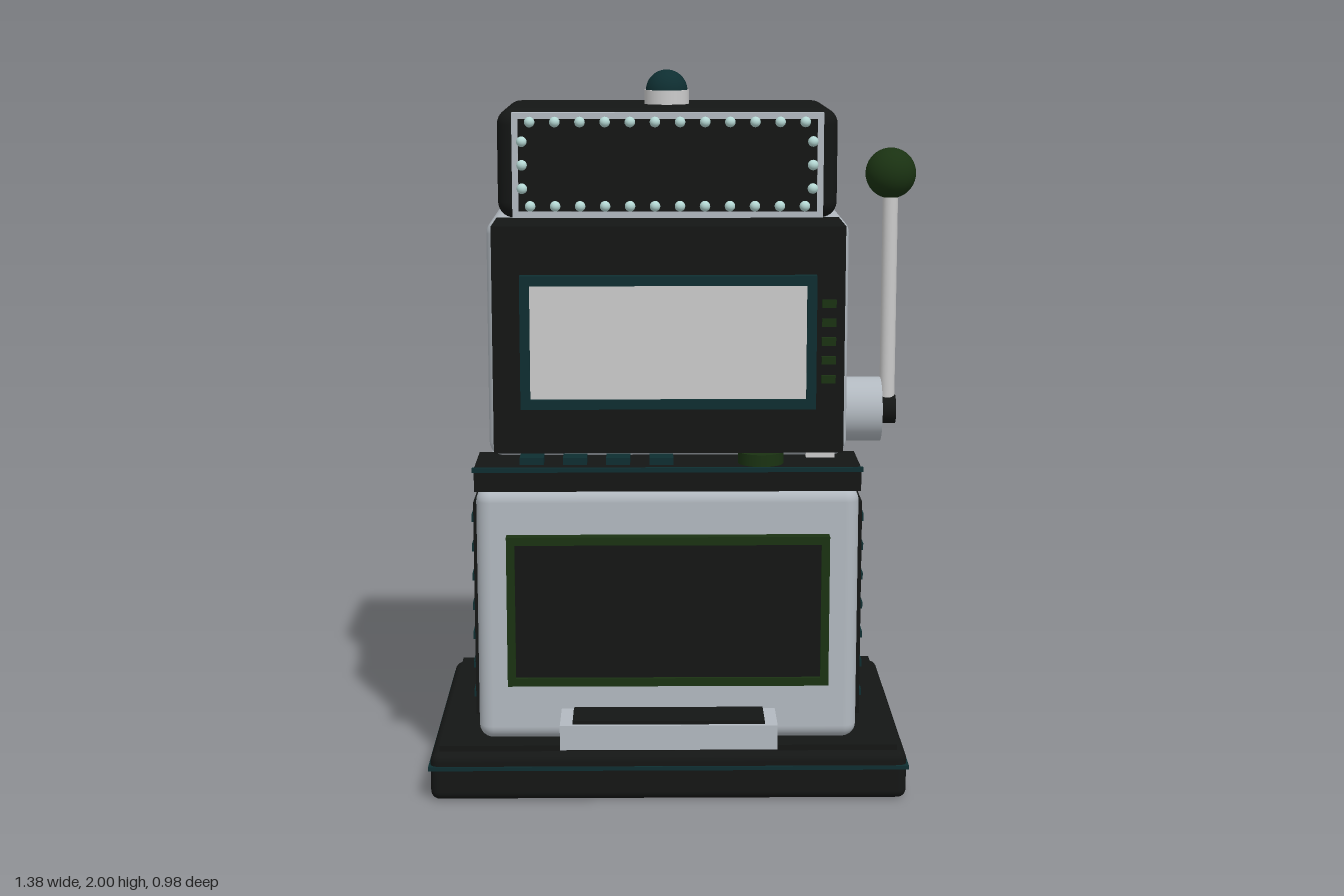
import * as THREE from 'three';
import { RoundedBoxGeometry } from 'three/addons/geometries/RoundedBoxGeometry.js';

const paint = (color, side = THREE.FrontSide) => {
  const m = new THREE.MeshStandardMaterial({ color });
  m.side = side;
  return m;
};

export function createModel() {
  const model = new THREE.Group();
  model.name = 'slotMachine';
  const grey = paint(0xb2b9c0), silver = paint(0xcccccc), black = paint(0x141615);
  const teal = paint(0x0e2e31), green = paint(0x1a3212), bulbMat = paint(0xb5d8d4);

  const add = (name, geo, mat, x = 0, y = 0, z = 0, parent = model) => {
    const mesh = new THREE.Mesh(geo, mat);
    mesh.name = name;
    mesh.position.set(x, y, z);
    parent.add(mesh);
    return mesh;
  };
  // Box given by its limits on each axis; r rounds the edges
  const box = (name, mat, [x0, x1], [y0, y1], [z0, z1], r = 0, parent = model) => {
    const s = [x1 - x0, y1 - y0, z1 - z0];
    const geo = r ? new RoundedBoxGeometry(...s, 4, r) : new THREE.BoxGeometry(...s);
    return add(name, geo, mat, (x0 + x1) / 2, (y0 + y1) / 2, (z0 + z1) / 2, parent);
  };
  // Rectangular frame facing +z with border t
  const frame = (name, mat, [x0, x1], [y0, y1], [z0, z1], t) => {
    const rect = (S, a, b, c, d) => new S().moveTo(a, c).lineTo(b, c).lineTo(b, d).lineTo(a, d).closePath();
    const shape = rect(THREE.Shape, x0, x1, y0, y1);
    shape.holes.push(rect(THREE.Path, x0 + t, x1 - t, y0 + t, y1 - t));
    return add(name, new THREE.ExtrudeGeometry(shape, { depth: z1 - z0, bevelEnabled: false }), mat, 0, 0, z0);
  };
  const group = (name) => {
    const g = new THREE.Group();
    g.name = name;
    model.add(g);
    return g;
  };

  // Plinth
  box('plinth', black, [-0.685, 0.643], [0, 0.137], [-0.487, 0.413], 0.025);
  box('plinthTrim', teal, [-0.69, 0.648], [0.089, 0.1], [-0.492, 0.418]);
  box('plinthTop', black, [-0.66, 0.617], [0.13, 0.153], [-0.462, 0.39]);

  // Lower cabinet with louvred sides
  const cx = -0.022;
  box('lowerCabinet', grey, [-0.553, 0.507], [0.15, 0.873], [-0.407, 0.337], 0.04);
  for (const [side, s] of [['left', 1], ['right', -1]]) {
    const g = group(side + 'SidePanel');
    add('panel', new THREE.BoxGeometry(0.02, 0.614, 0.614), black, cx + s * 0.532, 0.513, -0.037, g);
    for (let i = 0; i < 7; i++)
      add('slat', new THREE.BoxGeometry(0.012, 0.02, 0.55), teal, cx + s * 0.544, 0.258 + i * 0.085, -0.037, g);
  }
  frame('bellyFrame', green, [-0.468, 0.424], [0.318, 0.744], [0.33, 0.37], 0.023);
  box('bellyPanel', black, [-0.45, 0.405], [0.335, 0.725], [0.33, 0.36]);

  // Payout tray
  box('tray', grey, [-0.32, 0.277], [0.174, 0.243], [0.33, 0.49]);
  box('trayWell', black, [-0.285, 0.242], [0.235, 0.253], [0.355, 0.478]);

  // Control deck
  box('deck', black, [-0.553, 0.507], [0.873, 0.937], [0.138, 0.37]);
  box('deckTrim', teal, [-0.558, 0.512], [0.928, 0.94], [0.365, 0.378]);
  for (let i = 0; i < 4; i++)
    box('button', teal, [-0.43 + i * 0.119, -0.364 + i * 0.119], [0.93, 0.957], [0.26, 0.32]);
  add('spinButton', new THREE.CylinderGeometry(0.063, 0.063, 0.04, 32), green, 0.235, 0.95, 0.29);
  box('coinSlot', silver, [0.365, 0.445], [0.937, 0.99], [0.19, 0.222]);

  // Upper cabinet and screen housing
  box('upperCabinet', grey, [-0.522, 0.48], [0.937, 1.603], [-0.407, 0.217], 0.04);
  box('screenHousing', black, [-0.492, 0.45], [0.995, 1.607], [0.19, 0.44]);
  frame('screenFrame', teal, [-0.417, 0.373], [1.12, 1.478], [0.43, 0.472], 0.026);
  box('screen', silver, [-0.395, 0.35], [1.14, 1.458], [0.43, 0.46]);
  for (let i = 0; i < 5; i++)
    box('indicator', green, [0.388, 0.426], [1.187 + i * 0.051, 1.208 + i * 0.051], [0.435, 0.455]);

  // Top sign with bulbs
  box('signBox', black, [-0.49, 0.447], [1.603, 1.905], [-0.307, 0.2], 0.045);
  frame('signFrame', grey, [-0.447, 0.405], [1.608, 1.894], [0.19, 0.22], 0.017);
  box('signFace', black, [-0.435, 0.393], [1.62, 1.882], [0.18, 0.214]);
  const bulbs = group('bulbs');
  const bulbGeo = new THREE.SphereGeometry(0.0145, 14, 10);
  for (let i = 0; i < 12; i++)
    for (const y of [1.64, 1.869]) add('bulb', bulbGeo, bulbMat, -0.398 + i * 0.0684, y, 0.221, bulbs);
  for (const y of [1.688, 1.752, 1.816])
    for (const x of [-0.42, 0.376]) add('bulb', bulbGeo, bulbMat, x, y, 0.221, bulbs);

  // Beacon
  add('beaconCollar', new THREE.CylinderGeometry(0.063, 0.063, 0.045, 32), silver, cx, 1.922, -0.053);
  add('beaconDome', new THREE.SphereGeometry(0.059, 32, 12, 0, Math.PI * 2, 0, Math.PI / 2),
    paint(0x0e2e31, THREE.DoubleSide), cx, 1.942, -0.053);

  // Pull lever
  const lever = group('lever');
  const lz = -0.035;
  add('hub', new THREE.CylinderGeometry(0.093, 0.093, 0.125, 40), grey, 0.533, 1.028, lz, lever).rotation.z = Math.PI / 2;
  add('pivot', new THREE.CylinderGeometry(0.042, 0.042, 0.045, 24), black, 0.617, 1.028, lz, lever).rotation.z = Math.PI / 2;
  add('rod', new THREE.CylinderGeometry(0.022, 0.022, 0.64, 20), silver, 0.616, 1.35, lz, lever);
  add('knob', new THREE.SphereGeometry(0.072, 32, 20), green, 0.616, 1.71, lz, lever);

  return model;
}
